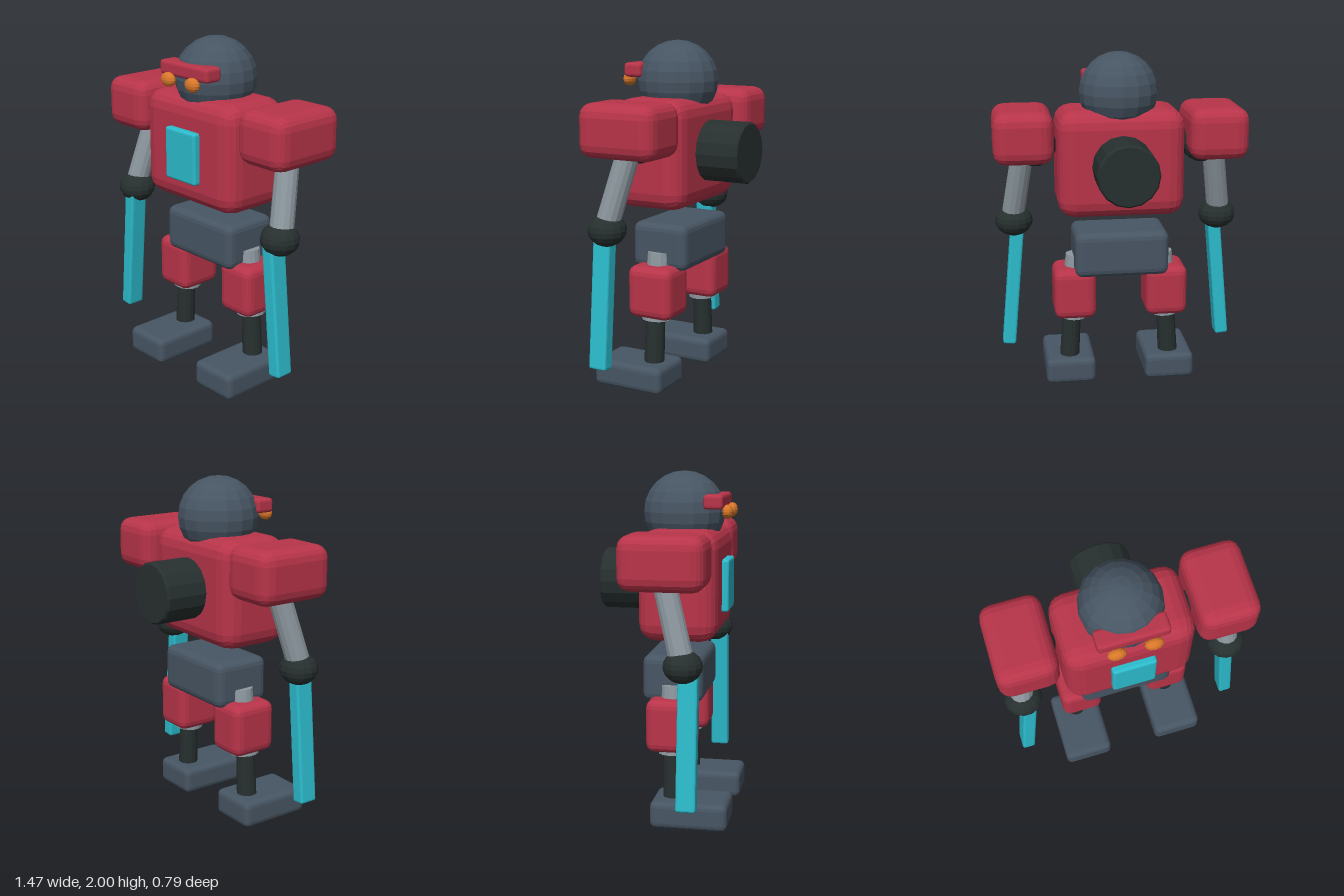
import * as THREE from 'three';
import { RoundedBoxGeometry } from 'three/addons/geometries/RoundedBoxGeometry.js';

const material = (name, color) => {
  const m = new THREE.MeshStandardMaterial({ color });
  m.name = name;
  return m;
};

export function createModel() {
  const red = material('armour red', 0xb83449);
  const slate = material('slate blue', 0x475563);
  const dark = material('dark joint', 0x27302f);
  const grey = material('metal grey', 0x8d989f);
  const cyan = material('glowing cyan', 0x2cbccd);
  const orange = material('eye orange', 0xd8772a);

  const model = new THREE.Group();
  model.name = 'robot';

  // Faceted mesh: every face keeps its own normal
  const add = (parent, name, geometry, mat, x = 0, y = 0, z = 0) => {
    const flat = geometry.index ? geometry.toNonIndexed() : geometry;
    flat.computeVertexNormals();
    const mesh = new THREE.Mesh(flat, mat);
    mesh.name = name;
    mesh.position.set(x, y, z);
    parent.add(mesh);
    return mesh;
  };

  const box = (w, h, d, r) => new RoundedBoxGeometry(w, h, d, 2, r);

  const ball = (rx, ry, rz, sides = 14, rings = 10) =>
    new THREE.SphereGeometry(1, sides, rings).scale(rx, ry, rz);

  // Tapered limb running from point a (radius ra) down to point b (radius rb)
  const limb = (parent, name, mat, a, b, ra, rb) => {
    const from = new THREE.Vector3(...a);
    const to = new THREE.Vector3(...b);
    const mid = from.clone().add(to).multiplyScalar(0.5);
    const geometry = new THREE.CylinderGeometry(ra, rb, from.distanceTo(to), 14);
    const mesh = add(parent, name, geometry, mat, mid.x, mid.y, mid.z);
    mesh.quaternion.setFromUnitVectors(new THREE.Vector3(0, 1, 0), from.sub(to).normalize());
    return mesh;
  };

  // Body
  add(model, 'torso', box(0.74, 0.625, 0.45, 0.1), red, 0, 1.37, 0.083);
  add(model, 'chestPanel', box(0.25, 0.3, 0.06, 0.015), cyan, 0, 1.355, 0.317);
  add(model, 'pelvis', box(0.555, 0.268, 0.35, 0.045), slate, 0, 0.833, 0.048);

  // Backpack drum with a small bevel on the rear rim
  const drum = [[0, -0.14], [0.178, -0.14], [0.178, 0.128], [0.168, 0.14], [0, 0.14]]
    .map(([r, h]) => new THREE.Vector2(r, h));
  add(model, 'backpack', new THREE.LatheGeometry(drum, 16).rotateX(-Math.PI / 2), dark, 0, 1.373, -0.257);

  // Head
  add(model, 'head', ball(0.23, 0.23, 0.237, 16, 12), slate, 0, 1.77, 0.07);
  add(model, 'visor', box(0.395, 0.082, 0.112, 0.02), red, 0, 1.832, 0.262);

  for (const side of [1, -1]) {
    const label = side > 0 ? 'left' : 'right';
    add(model, label + 'Eye', ball(0.053, 0.041, 0.032, 12, 8), orange, side * 0.1, 1.775, 0.334);

    // Arm
    const arm = new THREE.Group();
    arm.name = label + 'Arm';
    model.add(arm);
    add(arm, 'shoulderJoint', ball(0.122, 0.122, 0.122), dark, side * 0.488, 1.47, 0.05);
    add(arm, 'shoulderArmour', box(0.345, 0.3, 0.475, 0.075), red, side * 0.562, 1.54, 0.06);
    limb(arm, 'upperArm', grey, [side * 0.555, 1.48, 0.046], [side * 0.63, 0.99, 0.173], 0.065, 0.068);
    add(arm, 'hand', ball(0.113, 0.092, 0.108), dark, side * 0.62, 0.99, 0.17);
    const blade = add(arm, 'blade', box(0.08, 0.79, 0.11, 0.014), cyan, side * 0.633, 0.592, 0.198);
    blade.rotation.z = side * 0.091;

    // Leg
    const leg = new THREE.Group();
    leg.name = label + 'Leg';
    model.add(leg);
    limb(leg, 'thigh', grey, [side * 0.255, 0.8, 0.052], [side * 0.284, 0.405, 0.057], 0.066, 0.084);
    add(leg, 'kneeArmour', box(0.25, 0.305, 0.28, 0.05), red, side * 0.274, 0.58, 0.052);
    limb(leg, 'shin', dark, [side * 0.287, 0.46, 0.06], [side * 0.307, 0.1, 0.061], 0.055, 0.06);
    add(leg, 'foot', box(0.3, 0.157, 0.443, 0.035), slate, side * 0.302, 0.078, 0.168);
  }

  return model;
}
